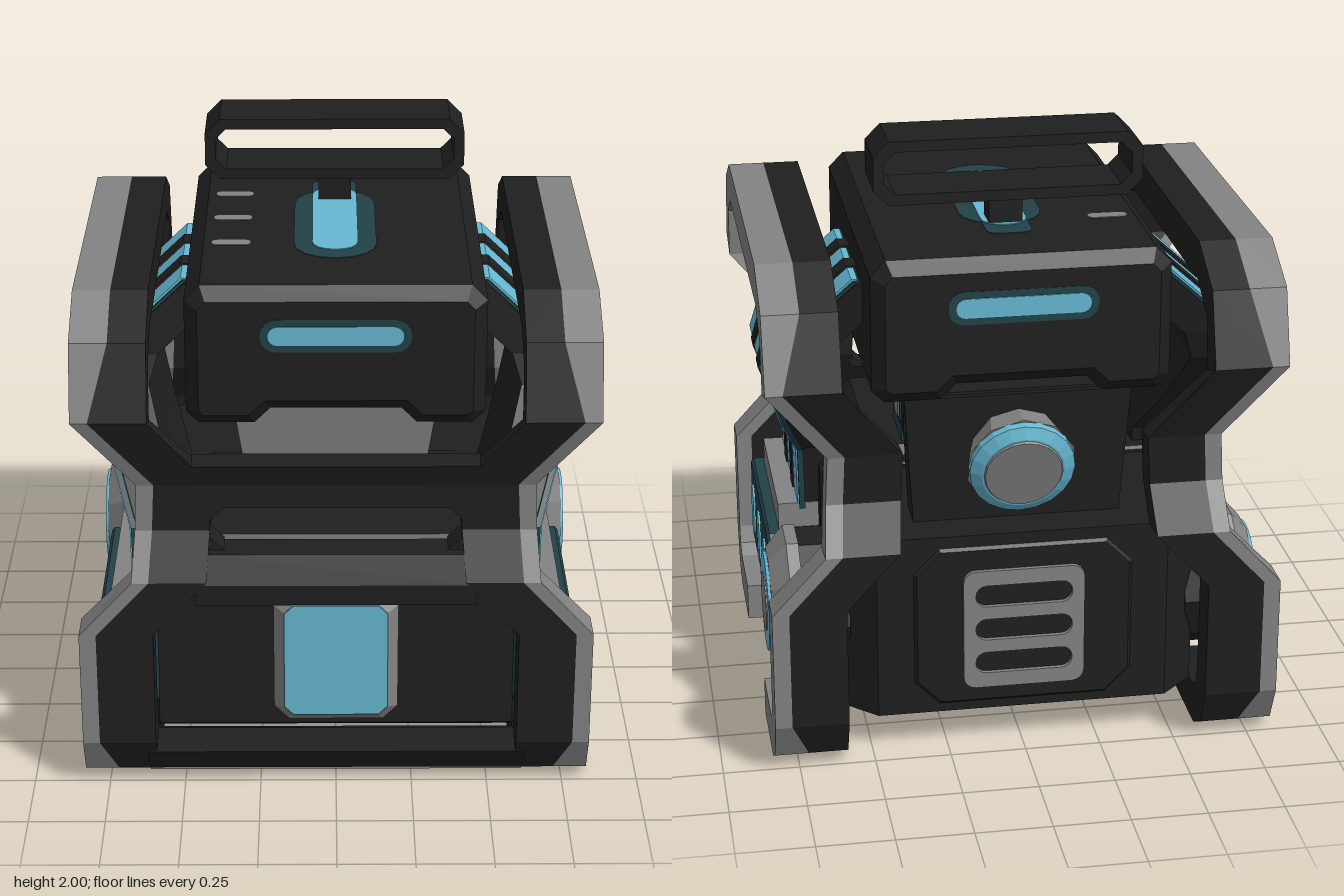
import * as THREE from 'three';

const mat = (name, color) => { const m = new THREE.MeshStandardMaterial({ color }); m.name = name; return m; };

// turn any geometry into flat-faced triangles
function flat(geo) {
  const g = geo.index ? geo.toNonIndexed() : geo;
  g.computeVertexNormals();
  return g;
}

// mirrored copy across x = 0, with winding restored
function mirrorX(geo) {
  const g = geo.index ? geo.toNonIndexed() : geo.clone();
  const p = g.attributes.position;
  for (let i = 0; i < p.count; i += 3) {
    const a = [0, 1, 2].map(k => [-p.getX(i + k), p.getY(i + k), p.getZ(i + k)]);
    p.setXYZ(i, ...a[0]); p.setXYZ(i + 1, ...a[2]); p.setXYZ(i + 2, ...a[1]);
  }
  g.computeVertexNormals();
  return g;
}

// solid through a list of closed cross-sections; faces always point outwards
function loft(sections) {
  const tris = [], n = sections[0].length;
  for (let s = 0; s < sections.length - 1; s++) {
    for (let i = 0; i < n; i++) {
      const j = (i + 1) % n, A = sections[s], B = sections[s + 1];
      tris.push([A[i], A[j], B[j]], [A[i], B[j], B[i]]);
    }
  }
  const last = sections[sections.length - 1], first = sections[0];
  for (let i = 1; i < n - 1; i++) tris.push([first[0], first[i + 1], first[i]], [last[0], last[i], last[i + 1]]);
  const cross = new THREE.Vector3();
  const volume = tris.reduce((v, [a, b, c]) => v + a.dot(cross.crossVectors(b, c)), 0);
  const pts = tris.flatMap(([a, b, c]) => (volume < 0 ? [a, c, b] : [a, b, c]));
  const g = new THREE.BufferGeometry().setFromPoints(pts);
  g.computeVertexNormals();
  return g;
}

// horizontal rectangle used as a loft section
const ring = (y, w, z0, z1) => [[-w, z0], [w, z0], [w, z1], [-w, z1]].map(([x, z]) => new THREE.Vector3(x, y, z));

// rectangle with round (seg > 1) or cut (seg = 1) corners
function rect(w, h, r, seg = 4, Type = THREE.Shape) {
  const pts = [];
  [[1, 1], [-1, 1], [-1, -1], [1, -1]].forEach(([sx, sy], q) => {
    for (let i = 0; i <= seg; i++) {
      const a = (q + i / seg) * Math.PI / 2;
      pts.push(new THREE.Vector2(sx * (w / 2 - r) + r * Math.cos(a), sy * (h / 2 - r) + r * Math.sin(a)));
    }
  });
  return new Type(pts);
}

// shape extruded along z, centred, with an optional chamfer kept inside its outline
function slab(shape, depth, bevel = 0) {
  const g = new THREE.ExtrudeGeometry(shape, {
    depth: depth - 2 * bevel, bevelEnabled: bevel > 0, bevelSize: bevel,
    bevelThickness: bevel, bevelOffset: -bevel, bevelSegments: 1, curveSegments: 6,
  });
  return g.translate(0, 0, bevel - depth / 2);
}

// piecewise linear lookup in [key, value] pairs
function lookup(table, k) {
  if (k <= table[0][0]) return table[0][1];
  for (let i = 1; i < table.length; i++) {
    const [k0, v0] = table[i - 1], [k1, v1] = table[i];
    if (k <= k1) return v0 + (v1 - v0) * (k - k0) / (k1 - k0);
  }
  return table[table.length - 1][1];
}

export function createModel() {
  const root = new THREE.Group();
  const dark = mat('charcoal', 0x1f1f1f), grey = mat('grey', 0x838383);
  const blue = mat('lightBlue', 0x66b8d2), teal = mat('darkTeal', 0x214148);

  const add = (name, geo, m, x = 0, y = 0, z = 0) => {
    const mesh = new THREE.Mesh(geo.translate(x, y, z), m);
    mesh.name = name;
    root.add(mesh);
  };
  const pair = (name, geo, m, x = 0, y = 0, z = 0) => {
    add(name + 'Left', geo, m, x, y, z);
    add(name + 'Right', mirrorX(geo), m);
  };
  const disc = (r0, r1, len, seg) => flat(new THREE.CylinderGeometry(r1, r0, len, seg));
  const box = (w, h, d) => new THREE.BoxGeometry(w, h, d);

  // side frames: [outer z, outer y, inner z, inner y] from the front foot to the top
  const half = [
    [0.36, 0, 0.36, 0.13], [0.66, 0, 0.62, 0.13], [0.75, 0.05, 0.67, 0.16], [0.81, 0.18, 0.69, 0.22],
    [0.81, 0.58, 0.69, 0.58], [0.81, 0.77, 0.69, 0.76], [0.73, 0.92, 0.63, 0.9], [0.73, 1.08, 0.63, 1.07],
    [0.81, 1.33, 0.69, 1.29], [0.735, 1.57, 0.67, 1.46], [0.54, 1.67, 0.54, 1.54],
  ];
  const stations = [...half, ...half.map(([a, b, c, d]) => [-a, b, -c, d]).reverse()];
  const outX = [[0.6, 0.83], [0.77, 0.65], [1.08, 0.635], [1.31, 0.83]];
  const greyW = [[0, 0.12], [0.11, 0.11], [0.2, 0.055], [1.31, 0.055], [1.5, 0.12]];
  const frameLoft = section => loft(stations.map(([oz, oy, iz, iy]) => {
    const y = (oy + iy) / 2;
    return section(lookup(outX, y), lookup(greyW, y)).map(([x, t]) =>
      new THREE.Vector3(x, oy + (iy - oy) * t, oz + (iz - oz) * t));
  }));
  pair('frameRim', frameLoft((x, w) => [[x - w, 0], [x, 0], [x, 1], [x - w, 1]]), grey);
  pair('frameInner', frameLoft((x, w) => [[x - 0.24, 0], [x - w, 0], [x - w, 1], [x - 0.24, 1]]), dark);

  // front cross members follow the bend of the frames
  add('upperCrossbar', loft([ring(1, 0.42, 0.635, 0.73), ring(1.08, 0.42, 0.635, 0.73), ring(1.155, 0.46, 0.655, 0.755)]), dark);
  add('lowerCrossbar', loft([ring(0.69, 0.45, 0.692, 0.808), ring(0.76, 0.45, 0.692, 0.808), ring(0.85, 0.45, 0.655, 0.765)]), dark);
  const openingCorner = (y, s) => loft([0.637, 0.73].map(z =>
    [[0.41, y], [0.36, y], [0.41, y + s * 0.05]].map(([x, v]) => new THREE.Vector3(x, v, z))));
  pair('openingCornerTop', openingCorner(1, -1), dark);
  pair('openingCornerBottom', openingCorner(0.85, 1), dark);
  const bar = [[0.62, 0.01], [0.67, 0.003], [0.75, 0.05], [0.8, 0.14], [0.68, 0.16], [0.62, 0.13]];
  add('frontFootBar', loft([-0.62, 0.62].map(x => bar.map(([z, y]) => new THREE.Vector3(x, y, z)))), dark);
  add('frontFootBarSole', box(1.24, 0.008, 0.06), grey, 0, 0.004, 0.65);
  add('frontFootBarBack', box(1.2, 0.11, 0.006), grey, 0, 0.065, 0.619);

  // main body, cut away at the rear corners
  add('body', slab(rect(1.2, 0.65, 0.012, 1), 0.71, 0.01), dark, 0, 0.455, 0.258);
  const plan = [[-0.59, -0.05], [0.59, -0.05], [0.59, -0.58], [0.48, -0.685], [-0.48, -0.685], [-0.59, -0.58]];
  add('rearBody', loft([0.13, 0.76].map(y => plan.map(([x, z]) => new THREE.Vector3(x, y, z)))), dark);
  add('bodyTop', slab(rect(0.9, 0.1, 0.03, 1), 0.7, 0.03), dark, 0, 0.78, 0.26);

  // front window
  add('windowFrame', slab(rect(0.41, 0.48, 0.05, 1), 0.09, 0.035), grey, 0, 0.42, 0.645);
  add('window', slab(rect(0.34, 0.405, 0.03, 1), 0.008), blue, 0, 0.422, 0.692);

  // rear panel and grill
  add('rearPanel', slab(rect(0.74, 0.58, 0.09, 1), 0.05, 0.02), dark, 0, 0.44, -0.67);
  const grill = rect(0.4, 0.42, 0.04);
  for (const y of [-0.12, 0, 0.12]) {
    const slot = rect(0.32, 0.075, 0.035, 4, THREE.Path).getPoints();
    grill.holes.push(new THREE.Path(slot.map(p => p.add(new THREE.Vector2(0, y)))));
  }
  add('rearGrill', slab(grill, 0.02), grey, 0, 0.43, -0.7);

  // side boxes with three lights, and the ledge above them
  pair('sideBox', slab(rect(0.71, 0.31, 0.02, 1), 0.2, 0.01).rotateY(Math.PI / 2), teal, 0.685, 0.375, 0.265);
  for (const z of [0.5, 0.265, 0.03]) {
    pair('sideLight', slab(rect(0.09, 0.19, 0.044), 0.008).rotateY(Math.PI / 2), blue, 0.788, 0.37, z);
  }
  pair('sideLedge', box(0.17, 0.09, 0.59), grey, 0.655, 0.575, 0.27);

  // side drums near the rear
  const onSide = g => g.rotateZ(-Math.PI / 2);
  pair('drumBase', onSide(disc(0.24, 0.24, 0.16, 10)), dark, 0.64, 0.43, -0.38);
  pair('drumRim', onSide(disc(0.25, 0.25, 0.04, 10)), grey, 0.73, 0.43, -0.38);
  pair('drumBevel', onSide(disc(0.25, 0.18, 0.06, 10)), grey, 0.78, 0.43, -0.38);
  pair('drumRing', onSide(disc(0.17, 0.165, 0.012, 24)), blue, 0.814, 0.43, -0.38);
  pair('drumCap', onSide(disc(0.1, 0.1, 0.008, 20)), grey, 0.82, 0.43, -0.38);

  // bent side ducts with stripes set between raised ribs: [x, y, centre z]
  const duct = [
    [0.66, 0.6, 0.265], [0.665, 0.83, 0.24], [0.73, 1.0, 0.08], [0.79, 1.2, -0.07], [0.76, 1.3, -0.1], [0.5, 1.54, -0.13],
  ];
  const ribbon = (offset, halfWidth, thick, lift) => loft(duct.map(([x, y, z], i) => {
    const zc = z + offset * (i > 2 ? 0.9 : 1), up = i > 3 ? lift : 0;
    return [[0, -1], [0, 1], [-thick, 1], [-thick, -1]].map(([dx, s]) =>
      new THREE.Vector3(x + lift + dx, y + up, zc + s * halfWidth));
  }));
  pair('duct', ribbon(0, 0.285, 0.17, 0), dark);
  for (const o of [-0.225, 0, 0.225]) {
    pair('ductStripeEdge', ribbon(o, 0.073, 0.02, 0.006), teal);
    pair('ductStripe', ribbon(o, 0.06, 0.02, 0.011), blue);
  }
  for (const o of [-0.1125, 0.1125]) pair('ductRib', ribbon(o, 0.04, 0.04, 0.016), dark);

  // engine core beneath the top box
  add('core', loft([ring(0.76, 0.29, 0.15, -0.43), ring(1.17, 0.35, 0.2, -0.5)]), grey);
  add('coreBase', box(0.62, 0.12, 0.22), teal, 0, 0.83, 0.08);
  add('coreCollar', box(0.78, 0.08, 0.4), teal, 0, 1.19, 0.01);
  add('coreArch', slab(rect(0.34, 0.06, 0.02), 0.008), grey, 0, 1.16, 0.212);
  add('rearCollar', box(0.74, 0.13, 0.37), dark, 0, 1.145, -0.375);
  pair('collarInsetRim', slab(rect(0.13, 0.11, 0.02), 0.008).rotateY(Math.PI / 2), teal, 0.371, 1.145, -0.44);
  pair('collarInset', slab(rect(0.09, 0.09, 0.02), 0.008).rotateY(Math.PI / 2), grey, 0.375, 1.145, -0.44);
  add('rearHousing', loft([ring(0.74, 0.34, -0.42, -0.55), ring(1.2, 0.37, -0.5, -0.58)]), dark);

  // rear knob, tipped slightly downwards; distances run along its axis
  const knob = (name, r0, r1, from, to, seg, m) => add(name,
    disc(r0, r1, to - from, seg).translate(0, (from + to) / 2, 0).rotateX(-Math.PI / 2 - 0.28), m, 0, 0.99, -0.6);
  knob('rearKnobBase', 0.15, 0.18, -0.06, 0.04, 10, grey);
  knob('rearKnobRing', 0.172, 0.172, 0.035, 0.065, 20, blue);
  knob('rearKnobBevel', 0.172, 0.135, 0.065, 0.085, 20, blue);
  knob('rearKnobCap', 0.13, 0.125, 0.083, 0.091, 20, grey);

  // top box with a notch along its underside
  const lid = new THREE.Shape([
    [-0.44, 1.22], [-0.26, 1.22], [-0.21, 1.27], [0.21, 1.27], [0.26, 1.22], [0.44, 1.22], [0.48, 1.26],
    [0.48, 1.64], [0.43, 1.692], [-0.43, 1.692], [-0.48, 1.64], [-0.48, 1.26],
  ].map(p => new THREE.Vector2(...p)));
  add('topBox', slab(lid, 1.27, 0.042), dark, 0, 0, -0.04);
  for (const s of [1, -1]) {
    const end = s > 0 ? 'front' : 'rear', z = -0.04 + s * 0.633;
    add(end + 'LightRim', slab(rect(0.48, 0.11, 0.05), 0.008), teal, 0, 1.535, z);
    add(end + 'Light', slab(rect(0.43, 0.064, 0.03), 0.008), blue, 0, 1.535, z + s * 0.003);
  }

  // slot and marks on top
  const onTop = g => g.rotateX(-Math.PI / 2);
  add('topSlotRim', onTop(slab(rect(0.27, 0.65, 0.13), 0.008)), teal, 0, 1.69, -0.005);
  add('topSlotTail', onTop(slab(rect(0.15, 0.25, 0.04), 0.008)), teal, 0, 1.69, -0.305);
  add('topSlot', onTop(slab(rect(0.15, 0.6, 0.07), 0.008)), blue, 0, 1.693, -0.05);
  for (const z of [-0.295, -0.06, 0.175]) {
    add('topMark', onTop(slab(rect(0.13, 0.05, 0.02), 0.008)), grey, -0.34, 1.69, z);
  }

  // carrying handle
  const loop = rect(0.87, 0.21, 0.05, 1);
  loop.holes.push(rect(0.8, 0.14, 0.035, 1, THREE.Path));
  add('handle', slab(loop, 0.22), dark, 0, 1.895, -0.28);
  add('handleStem', box(0.11, 0.12, 0.1), dark, 0, 1.74, -0.28);
  return root;
}
